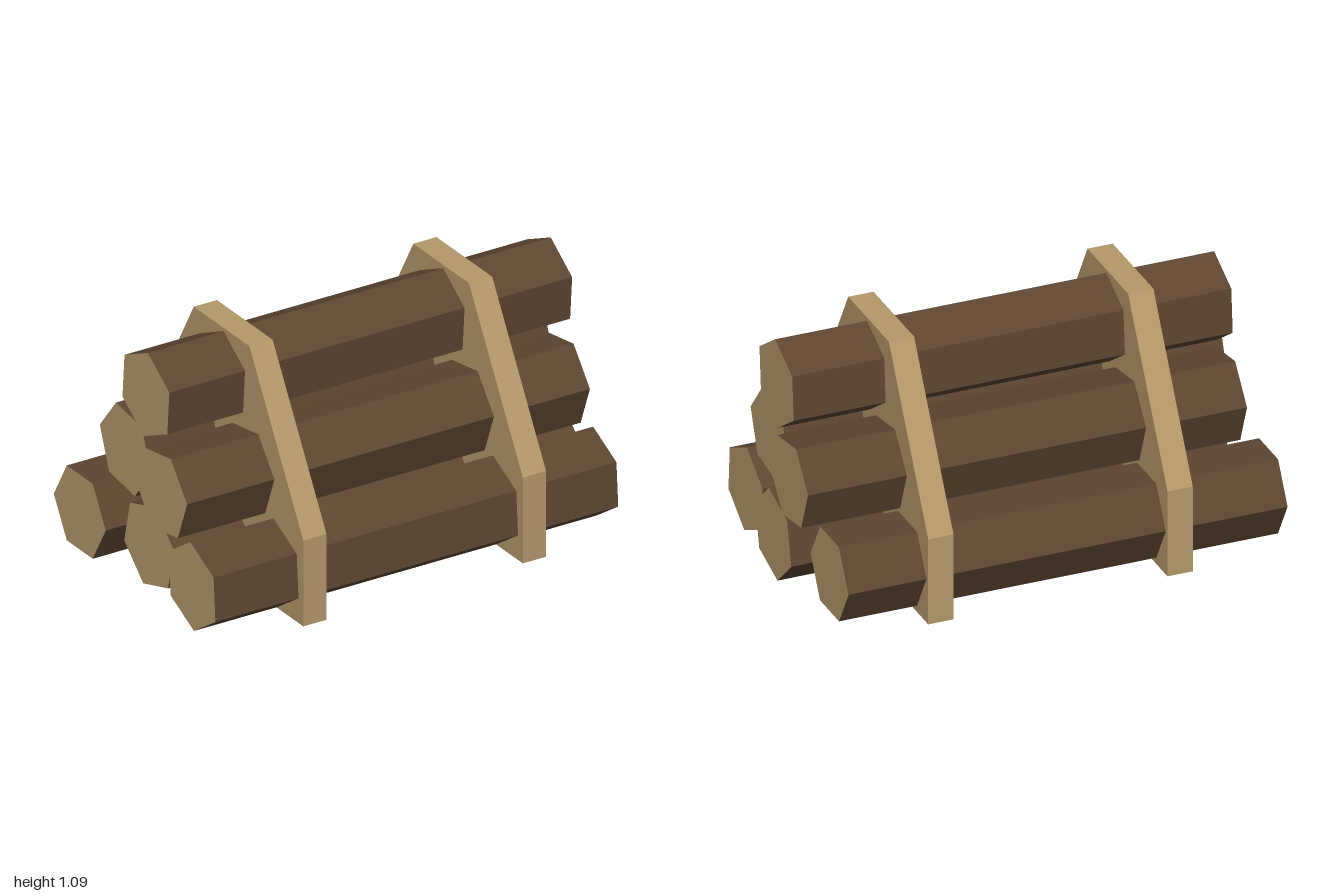
import * as THREE from 'three';

export function createModel() {
  const bark = new THREE.MeshStandardMaterial({ color: 0x5d4530, flatShading: true });
  bark.name = 'bark brown';
  const cutWood = new THREE.MeshStandardMaterial({ color: 0xb4986a, flatShading: true });
  cutWood.name = 'cut wood tan';

  const model = new THREE.Group();
  model.name = 'logPile';

  // Six-sided logs lying along x: name, centre x, y, z and roll in degrees
  const radius = 0.194, length = 1.91;
  const logs = [
    ['topLog', 0.015, 0.877, 0, 85.5],
    ['middleFrontLog', -0.04, 0.537, 0.203, 69],
    ['middleBackLog', 0.045, 0.537, -0.2, 111],
    ['bottomFrontLog', -0.02, 0.196, 0.4, 94],
    ['bottomMiddleLog', 0.03, 0.196, 0, 77],
    ['bottomBackLog', -0.046, 0.196, -0.398, 0],
  ];
  for (const [name, x, y, z, roll] of logs) {
    const geometry = new THREE.CylinderGeometry(radius, radius, length, 6);
    geometry.rotateZ(-Math.PI / 2);
    geometry.rotateX(-THREE.MathUtils.degToRad(roll));
    const log = new THREE.Mesh(geometry, [bark, cutWood, cutWood]);
    log.name = name;
    log.position.set(x, y, z);
    model.add(log);
  }

  // Two solid tapered plates holding the pile together
  const width = 0.11;
  const outline = new THREE.Shape([
    [-0.61, 0], [0.61, 0], [0.61, 0.385], [0.208, 1.085], [-0.208, 1.085], [-0.61, 0.385],
  ].map(([z, y]) => new THREE.Vector2(z, y)));
  const plate = new THREE.ExtrudeGeometry(outline, { depth: width, bevelEnabled: false });
  plate.translate(0, 0, -width / 2);
  plate.rotateY(-Math.PI / 2);
  for (const [name, x] of [['rightBrace', -0.526], ['leftBrace', 0.515]]) {
    const brace = new THREE.Mesh(plate, cutWood);
    brace.name = name;
    brace.position.x = x;
    model.add(brace);
  }

  return model;
}
